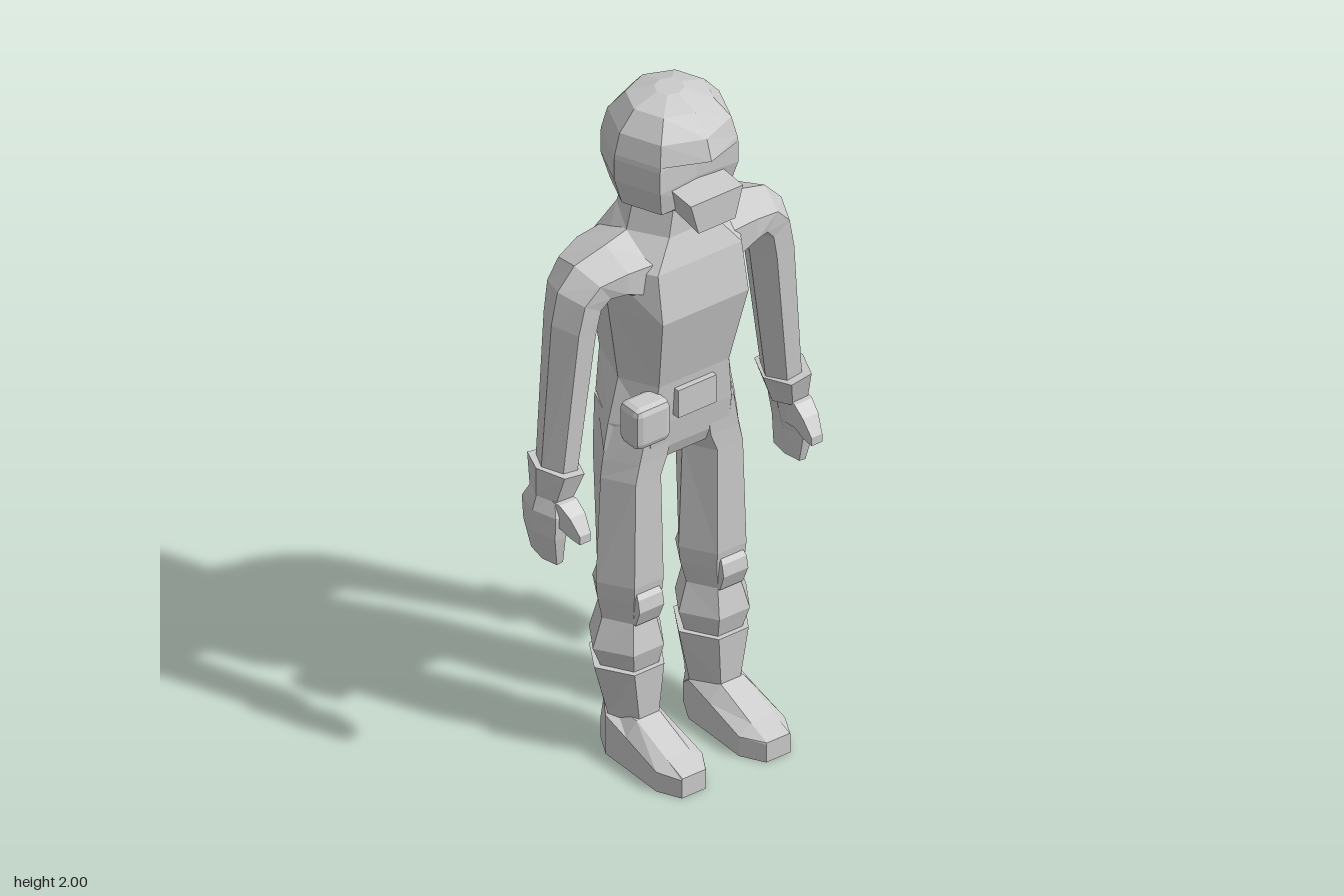
import * as THREE from 'three';
import { RoundedBoxGeometry } from 'three/addons/geometries/RoundedBoxGeometry.js';

const CX = -0.055; // plane of the side ridges
const mat = new THREE.MeshStandardMaterial({ color: 0xcccccc, flatShading: true });

// Skin closed loops of points, cap both ends and turn the faces outward
function loft(rings) {
  const tris = [];
  const n = rings[0].length;
  for (let i = 0; i + 1 < rings.length; i++) {
    for (let j = 0; j < n; j++) {
      const k = (j + 1) % n;
      const a = rings[i][j], b = rings[i][k], c = rings[i + 1][k], d = rings[i + 1][j];
      tris.push([a, b, c], [a, c, d]);
    }
  }
  const cap = (ring, flip) => {
    const m = [0, 1, 2].map(q => ring.reduce((s, p) => s + p[q], 0) / n);
    ring.forEach((p, j) => {
      const r = ring[(j + 1) % n];
      tris.push(flip ? [m, r, p] : [m, p, r]);
    });
  };
  cap(rings[0], true);
  cap(rings[rings.length - 1], false);
  let volume = 0;
  for (const [a, b, c] of tris) {
    volume += a[0] * (b[1] * c[2] - b[2] * c[1]) + a[1] * (b[2] * c[0] - b[0] * c[2]) + a[2] * (b[0] * c[1] - b[1] * c[0]);
  }
  const pos = tris.flatMap(t => (volume < 0 ? [t[0], t[2], t[1]] : t)).flat();
  const g = new THREE.BufferGeometry();
  g.setAttribute('position', new THREE.Float32BufferAttribute(pos, 3));
  g.computeVertexNormals();
  return g;
}

// Six-sided section with ridges at points A and B given as (z, y); flat front and back
function hex(zA, yA, zB, yB, back, front, s = 1, flat = 0.45) {
  const at = (t, x) => [x, yA + (yB - yA) * t, s * (zA + (zB - zA) * t)];
  const lo = 0.5 - flat / 2, hi = 0.5 + flat / 2;
  return [at(0, CX), at(lo, front), at(hi, front), at(1, CX), at(hi, back), at(lo, back)];
}

export function createModel() {
  const model = new THREE.Group();
  const add = (name, geometry, x = 0, y = 0, z = 0) => {
    const m = new THREE.Mesh(geometry, mat);
    m.name = name;
    m.position.set(x, y, z);
    model.add(m);
    return m;
  };

  // Torso: y, half width, back, front, flat share
  add('torso', loft([
    [0.91, 0.12, -0.15, 0.015, 0.5],
    [0.95, 0.215, -0.175, 0.03, 0.6],
    [1.03, 0.20, -0.20, 0.04, 0.65],
    [1.16, 0.168, -0.205, 0.05, 0.68],
    [1.39, 0.20, -0.225, 0.10, 0.7],
    [1.53, 0.22, -0.205, 0.075, 0.62],
    [1.61, 0.14, -0.18, 0.045, 0.55],
    [1.69, 0.12, -0.165, 0.04, 0.5],
  ].map(([y, w, b, f, k]) => hex(-w, y, w, y, b, f, 1, k))));

  // Helmet: eight-sided rings, the front corner set back to open the face
  add('helmet', loft([
    [1.675, 0.11, 0.03],
    [1.70, 0.155, 0.05],
    [1.78, 0.18, 0.06],
    [1.845, 0.18, 0.06],
    [1.86, 0.178, 0.125],
    [1.92, 0.162, 0.105],
    [1.975, 0.115, 0.055],
    [2.0, 0.04, -0.015],
  ].map(([y, r, front]) => Array.from({ length: 8 }, (_, i) => {
    const a = i * Math.PI / 4;
    return [i === 0 ? front : CX + r * Math.cos(a), y, r * Math.sin(a)];
  }))));

  // Breathing mask, wider at its top
  add('mask', loft([
    [0.02, 1.775, 1.695, 0.085, 0.06],
    [0.148, 1.765, 1.672, 0.085, 0.06],
  ].map(([x, top, low, wt, wl]) => [[x, low, -wl], [x, low, wl], [x - 0.0, top, wt], [x, top, -wt]])));

  // Belt items
  add('buckle', new THREE.BoxGeometry(0.04, 0.085, 0.125), 0.045, 1.095, 0);
  add('pouch', new RoundedBoxGeometry(0.085, 0.125, 0.115, 1, 0.02), 0.05, 1.08, 0.16);

  for (const s of [1, -1]) {
    const side = s > 0 ? 'right' : 'left';

    // Arm: ridge A (z, y), ridge B (z, y), back, front
    add(side + 'Arm', loft([
      [0.10, 1.38, 0.12, 1.615, -0.19, 0.05],
      [0.21, 1.45, 0.21, 1.59, -0.175, 0.045],
      [0.235, 1.455, 0.31, 1.565, -0.15, 0.03],
      [0.25, 1.435, 0.365, 1.505, -0.14, 0.022],
      [0.262, 1.37, 0.385, 1.41, -0.132, 0.018],
      [0.315, 0.95, 0.42, 0.95, -0.115, 0.0],
    ].map(([a, b, c, d, e, f]) => hex(a, b, c, d, e, f, s))));

    // Glove cuff, flared upward
    add(side + 'Cuff', loft([
      [0.305, 0.965, 0.435, 0.985, -0.135, 0.025],
      [0.335, 0.88, 0.435, 0.90, -0.115, 0.0],
    ].map(([a, b, c, d, e, f]) => hex(a, b, c, d, e, f, s, 0.5))));

    // Hand
    add(side + 'Hand', loft([
      [0.345, 0.91, 0.43, 0.91, -0.105, -0.01],
      [0.355, 0.85, 0.447, 0.86, -0.13, 0.015],
      [0.37, 0.78, 0.44, 0.79, -0.125, 0.01],
      [0.375, 0.70, 0.415, 0.695, -0.115, -0.005],
    ].map(([a, b, c, d, e, f]) => hex(a, b, c, d, e, f, s, 0.5))));

    // Thumb: x, lower y, upper y, inner z, outer z
    add(side + 'Thumb', loft([
      [-0.04, 0.81, 0.90, 0.365, 0.42],
      [0.015, 0.825, 0.895, 0.355, 0.412],
      [0.05, 0.81, 0.87, 0.355, 0.405],
      [0.08, 0.80, 0.825, 0.36, 0.395],
    ].map(([x, l, u, i, o]) => [[x, l, s * i], [x, l, s * o], [x, u, s * o], [x, u, s * i]])));

    // Leg: y, inner z, outer z, back, front
    const legRing = ([y, i, o, b, f]) => hex(i, y, o, y, b, f, s);
    add(side + 'Leg', loft([
      [1.03, 0.0, 0.195, -0.19, 0.035],
      [0.925, 0.015, 0.218, -0.168, 0.03],
      [0.87, 0.042, 0.225, -0.152, 0.03],
      [0.55, 0.03, 0.24, -0.125, 0.035],
      [0.50, 0.035, 0.235, -0.148, 0.03],
      [0.43, 0.055, 0.22, -0.132, 0.02],
      [0.345, 0.03, 0.25, -0.15, 0.04],
      [0.26, 0.055, 0.215, -0.13, 0.02],
    ].map(legRing)));

    // Knee pad: y, front x, half width
    add(side + 'KneePad', loft([
      [0.535, 0.028, 0.035], [0.515, 0.043, 0.04], [0.48, 0.05, 0.04], [0.43, 0.03, 0.038],
    ].map(([y, x, w]) => [[0.0, y, s * 0.137 - w], [x, y, s * 0.137 - w], [x, y, s * 0.137 + w], [0.0, y, s * 0.137 + w]])));

    // Boot shaft
    add(side + 'Boot', loft([
      [0.285, 0.03, 0.245, -0.155, 0.04],
      [0.12, 0.065, 0.20, -0.125, 0.032],
      [0.05, 0.07, 0.20, -0.123, 0.03],
    ].map(legRing)));

    // Foot: x, sole z range, upper z range, side height, top height
    add(side + 'Foot', loft([
      [-0.127, 0.10, 0.17, 0.11, 0.16, 0.06, 0.115],
      [-0.055, 0.062, 0.208, 0.10, 0.175, 0.12, 0.135],
      [0.035, 0.062, 0.208, 0.10, 0.175, 0.095, 0.138],
      [0.163, 0.06, 0.21, 0.10, 0.175, 0.06, 0.085],
      [0.23, 0.098, 0.177, 0.10, 0.175, 0.055, 0.06],
    ].map(([x, i, o, ri, ro, h, t]) =>
      [[x, 0, i], [x, h, i], [x, t, ri], [x, t, ro], [x, h, o], [x, 0, o]].map(([a, b, c]) => [a, b, s * c]))));
  }
  return model;
}
